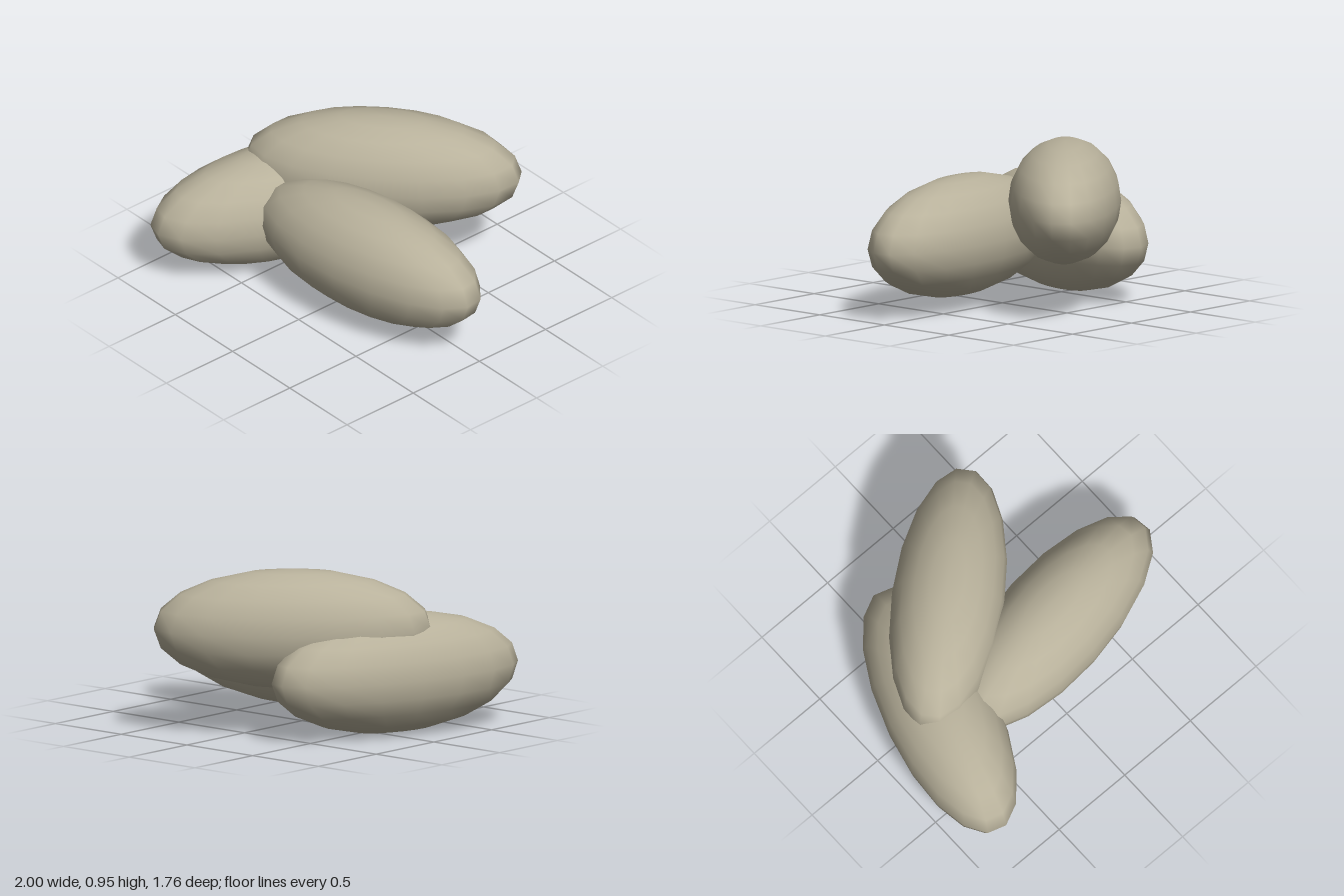
import * as THREE from 'three';

export function createModel() {
  const group = new THREE.Group();
  group.name = 'pebblePile';

  const stone = new THREE.MeshStandardMaterial({ color: 0xb8b19b });
  stone.name = 'warm grey stone';

  // One long egg-shaped pebble, its length along local z
  const pebble = new THREE.SphereGeometry(1, 18, 10);
  pebble.scale(0.323, 0.345, 0.805);

  // name, centre, heading in degrees about y
  const pebbles = [
    ['leftPebble', [0.205, 0.405, 0.145], 98.3],
    ['rightPebble', [-0.615, 0.345, 0.1], 163],
    ['topPebble', [-0.195, 0.605, -0.305], 131],
  ];
  for (const [name, centre, heading] of pebbles) {
    const mesh = new THREE.Mesh(pebble, stone);
    mesh.name = name;
    mesh.position.set(...centre);
    mesh.rotation.y = THREE.MathUtils.degToRad(heading);
    group.add(mesh);
  }
  return group;
}
